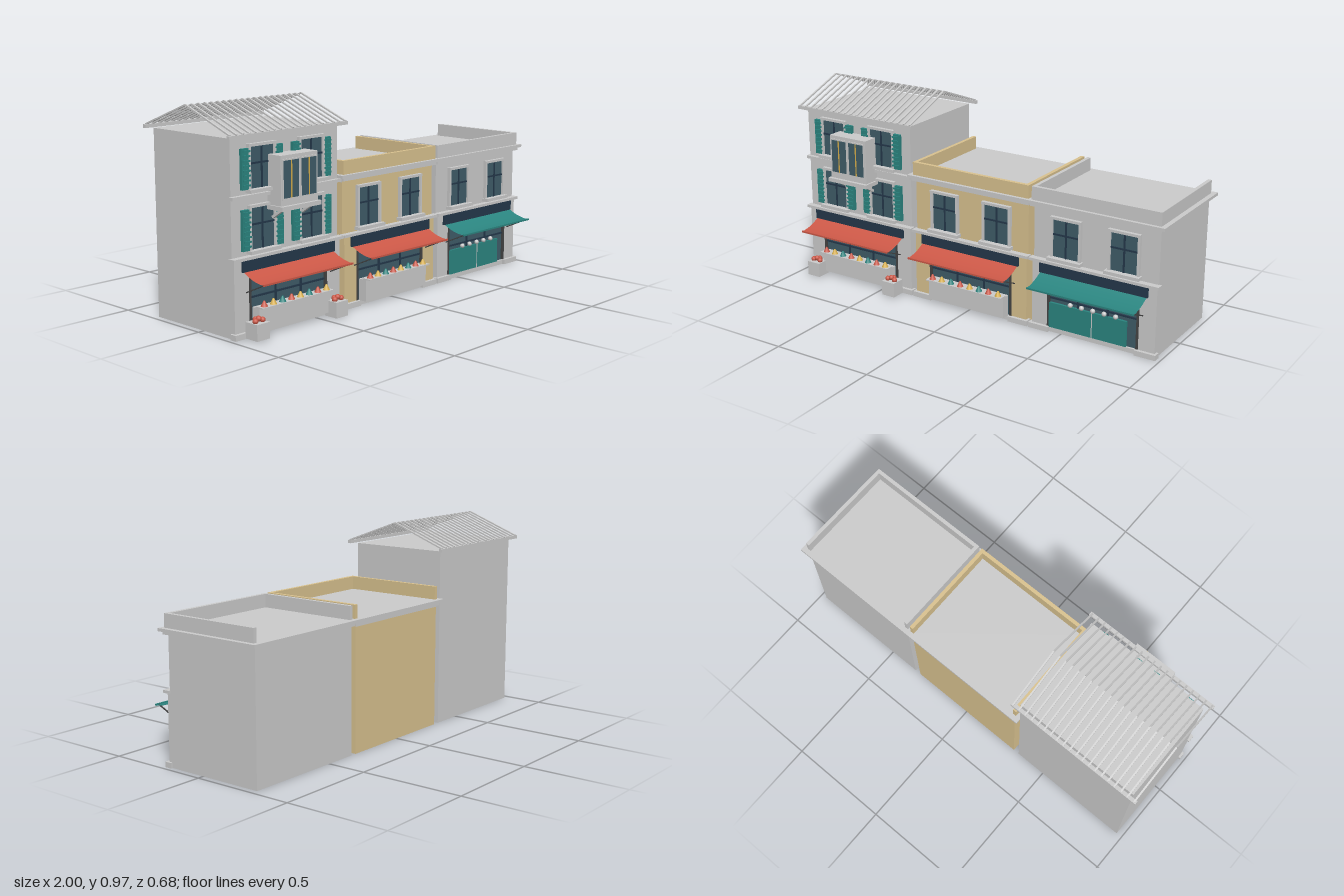
import * as THREE from 'three';

const mat = (color, side = THREE.FrontSide) => new THREE.MeshStandardMaterial({ color, side });
const grey = mat(0xcccccc), gold = mat(0xd9c28f), red = mat(0xcc5847), teal = mat(0x2b8580);
const glass = mat(0x3f5c68), navy = mat(0x24384a), dark = mat(0x444444), yellow = mat(0xd8b04c);

function add(parent, name, geo, m, x = 0, y = 0, z = 0) {
  const mesh = new THREE.Mesh(geo, m);
  mesh.name = name;
  mesh.position.set(x, y, z);
  parent.add(mesh);
  return mesh;
}

// Box given by its limits on each axis
function block(parent, name, m, x0, x1, y0, y1, z0, z1) {
  return add(parent, name, new THREE.BoxGeometry(x1 - x0, y1 - y0, z1 - z0), m,
    (x0 + x1) / 2, (y0 + y1) / 2, (z0 + z1) / 2);
}

// Thin bar between two points of the yz plane
function bar(parent, name, m, x, [y0, z0], [y1, z1], w, t) {
  const b = add(parent, name, new THREE.BoxGeometry(w, t, Math.hypot(y1 - y0, z1 - z0)), m,
    x, (y0 + y1) / 2, (z0 + z1) / 2);
  b.rotation.x = -Math.atan2(y1 - y0, z1 - z0);
  return b;
}

function group(parent, name, x = 0) {
  const g = new THREE.Group();
  g.name = name;
  g.position.x = x;
  parent.add(g);
  return g;
}

// Upper-floor window: glass, frame, glazing bars, sill and optional shutters
function addWindow(parent, x, y0, y1, shutters) {
  const g = group(parent, 'window', x), w = 0.066, f = 0.012;
  block(g, 'glass', glass, -w, w, y0, y1, 0.185, 0.196);
  for (const s of [-1, 1]) {
    const c = s * (w + f / 2);
    block(g, 'frameSide', grey, c - f / 2, c + f / 2, y0, y1, 0.185, 0.206);
  }
  block(g, 'frameTop', grey, -w - f, w + f, y1, y1 + f, 0.185, 0.208);
  block(g, 'sill', grey, -w - 0.02, w + 0.02, y0 - 0.015, y0, 0.185, 0.224);
  const mid = y0 + (y1 - y0) * 0.6;
  block(g, 'mullion', navy, -0.004, 0.004, y0, y1, 0.19, 0.2);
  block(g, 'transom', navy, -w, w, mid - 0.004, mid + 0.004, 0.19, 0.2);
  if (!shutters) return;
  for (const s of [-1, 1]) {
    const c = s * 0.092;
    block(g, 'shutter', teal, c - 0.024, c + 0.024, y0, y1 - 0.005, 0.188, 0.205);
    for (let i = 0; i < 8; i++) {
      const y = y0 + 0.018 + i * (y1 - y0 - 0.035) / 7;
      block(g, 'shutterSlat', teal, c - 0.019, c + 0.019, y - 0.004, y + 0.004, 0.2, 0.211);
    }
  }
}

// Sagging cloth with a front rod and two stays
function addAwning(parent, color) {
  const g = group(parent, 'awning');
  const cloth = new THREE.PlaneGeometry(0.534, 1, 1, 10);
  const p = cloth.attributes.position;
  for (let i = 0; i < p.count; i++) {
    const t = 0.5 - p.getY(i);
    p.setXYZ(i, p.getX(i), 0.29 - 0.04 * t - 0.04 * t * (1 - t), 0.205 + 0.13 * t);
  }
  cloth.computeVertexNormals();
  add(g, 'awningCloth', cloth, mat(color.color, THREE.DoubleSide));
  block(g, 'awningFrontRod', color, -0.267, 0.267, 0.246, 0.254, 0.329, 0.336);
  for (const s of [-1, 1]) bar(g, 'awningStay', dark, s * 0.25, [0.195, 0.208], [0.25, 0.33], 0.005, 0.005);
}

// Ground floor: piers, shop window, sign board and string course
function addShopfront(parent, wall, awning) {
  const g = group(parent, 'shopfront');
  for (const s of [-1, 1]) {
    const c = s * 0.272;
    block(g, 'pier', wall, c - 0.041, c + 0.041, 0, 0.335, 0.185, 0.204);
    block(g, 'pierBase', grey, c - 0.052, c + 0.052, 0, 0.025, 0.185, 0.22);
    block(g, 'shopFrame', dark, s * 0.226 - 0.006, s * 0.226 + 0.006, 0.02, 0.29, 0.185, 0.206);
  }
  block(g, 'shopGlass', glass, -0.231, 0.231, 0.02, 0.29, 0.185, 0.195);
  block(g, 'threshold', grey, -0.231, 0.231, 0, 0.022, 0.185, 0.206);
  block(g, 'shopTransom', navy, -0.22, 0.22, 0.163, 0.171, 0.19, 0.201);
  for (const x of [-0.075, 0.075]) block(g, 'shopMullion', navy, x - 0.004, x + 0.004, 0.022, 0.29, 0.19, 0.201);
  block(g, 'signBoard', navy, -0.272, 0.272, 0.285, 0.334, 0.19, 0.215);
  block(g, 'stringCourse', grey, -0.325, 0.325, 0.335, 0.348, 0.185, 0.22);
  addAwning(g, awning);
}

// Counter with a shelf of coloured cones
function addStall(parent) {
  const g = group(parent, 'stall');
  block(g, 'counter', grey, -0.212, 0.212, 0.022, 0.124, 0.2, 0.244);
  block(g, 'shelf', grey, -0.212, 0.212, 0.124, 0.13, 0.222, 0.268);
  const colors = [red, yellow, teal];
  for (let i = 0; i < 8; i++)
    add(g, 'spiceCone', new THREE.CylinderGeometry(0.004, 0.016, 0.025, 12), colors[i % 3],
      -0.186 + i * 0.053, 0.142, 0.247);
}

// Crate of fruit on the pavement
function addCrate(parent, x) {
  const g = group(parent, 'fruitCrate', x);
  block(g, 'crate', grey, -0.036, 0.036, 0.004, 0.076, 0.224, 0.296);
  for (const [dx, dy, dz] of [[-0.02, 0, 0.01], [0.02, 0, 0.01], [0, 0, -0.012], [0, 0.008, 0.008]])
    add(g, 'fruit', new THREE.SphereGeometry(0.013, 12, 8), red, dx, 0.083 + dy, 0.258 + dz);
}

// Two-tier cornice and a parapet that is open at the back
function addFlatRoof(parent, wall) {
  const g = group(parent, 'flatRoof');
  block(g, 'lowerCornice', grey, -0.325, 0.325, 0.593, 0.606, -0.321, 0.211);
  block(g, 'upperCornice', grey, -0.343, 0.343, 0.608, 0.622, -0.335, 0.222);
  block(g, 'corniceCore', grey, -0.313, 0.313, 0.585, 0.615, -0.31, 0.19);
  block(g, 'parapetFront', wall, -0.32, 0.32, 0.62, 0.685, 0.188, 0.206);
  for (const s of [-1, 1])
    block(g, 'parapetSide', wall, s * 0.311 - 0.009, s * 0.311 + 0.009, 0.62, 0.685, -0.31, 0.19);
}

// Open gable of slender ribs over gutter boards
function addRibbedRoof(parent) {
  const g = group(parent, 'ribbedRoof');
  for (const z of [0.218, -0.332]) block(g, 'gutter', grey, -0.345, 0.345, 0.85, 0.866, z - 0.009, z + 0.009);
  for (let i = 0; i < 20; i++) {
    const x = -0.335 + i * 0.67 / 19;
    bar(g, 'frontRib', grey, x, [0.866, 0.222], [0.971, -0.059], 0.008, 0.007);
    bar(g, 'backRib', grey, x, [0.866, -0.336], [0.971, -0.059], 0.008, 0.007);
  }
}

// Projecting bay with glazed front, base slab and struts
function addBay(parent) {
  const g = group(parent, 'bay');
  block(g, 'bayBody', grey, -0.108, 0.108, 0.55, 0.765, 0.185, 0.274);
  block(g, 'baySlab', grey, -0.116, 0.116, 0.531, 0.55, 0.185, 0.29);
  for (const s of [-1, 1]) {
    const c = s * 0.052;
    block(g, 'bayFrame', grey, c - 0.05, c + 0.05, 0.575, 0.75, 0.27, 0.278);
    block(g, 'bayGlass', glass, c - 0.043, c + 0.043, 0.583, 0.743, 0.27, 0.28);
    block(g, 'bayMullion', yellow, c - 0.003, c + 0.003, 0.583, 0.743, 0.275, 0.282);
    bar(g, 'strut', grey, s * 0.085, [0.493, 0.2], [0.533, 0.262], 0.016, 0.012);
  }
}

export function createModel() {
  const model = new THREE.Group();
  model.name = 'shopRow';
  const shops = [[-0.657, grey, 0.85, red], [0, gold, 0.6, red], [0.657, grey, 0.6, teal]];
  shops.forEach(([x, wall, h, awning], i) => {
    const house = group(model, ['tallHouse', 'middleHouse', 'endHouse'][i], x);
    block(house, 'walls', wall, -0.313, 0.313, 0, h, -0.31, 0.19);
    addShopfront(house, wall, awning);
    for (const s of [-1, 1]) {
      addWindow(house, s * 0.145, 0.37, 0.55, i === 0);
      if (i === 0) addWindow(house, s * 0.145, 0.63, 0.808, true);
    }
    if (i > 0) addFlatRoof(house, wall);
    if (i < 2) addStall(house);
  });

  // Extras of the tall house
  const tall = model.children[0];
  block(tall, 'floorBand', grey, -0.32, 0.32, 0.594, 0.608, 0.185, 0.21);
  addBay(tall);
  addRibbedRoof(tall);
  for (const s of [-1, 1]) addCrate(tall, s * 0.236);

  // Teal display front with a row of pale globes
  const end = model.children[2];
  block(end, 'displayFront', teal, -0.222, 0.172, 0.022, 0.145, 0.19, 0.207);
  block(end, 'displayDivider', grey, -0.002, 0.002, 0.022, 0.145, 0.2, 0.209);
  for (let i = 0; i < 5; i++)
    add(end, 'globe', new THREE.SphereGeometry(0.012, 12, 8), grey, -0.113 + i * 0.0575, 0.153, 0.203);
  return model;
}
